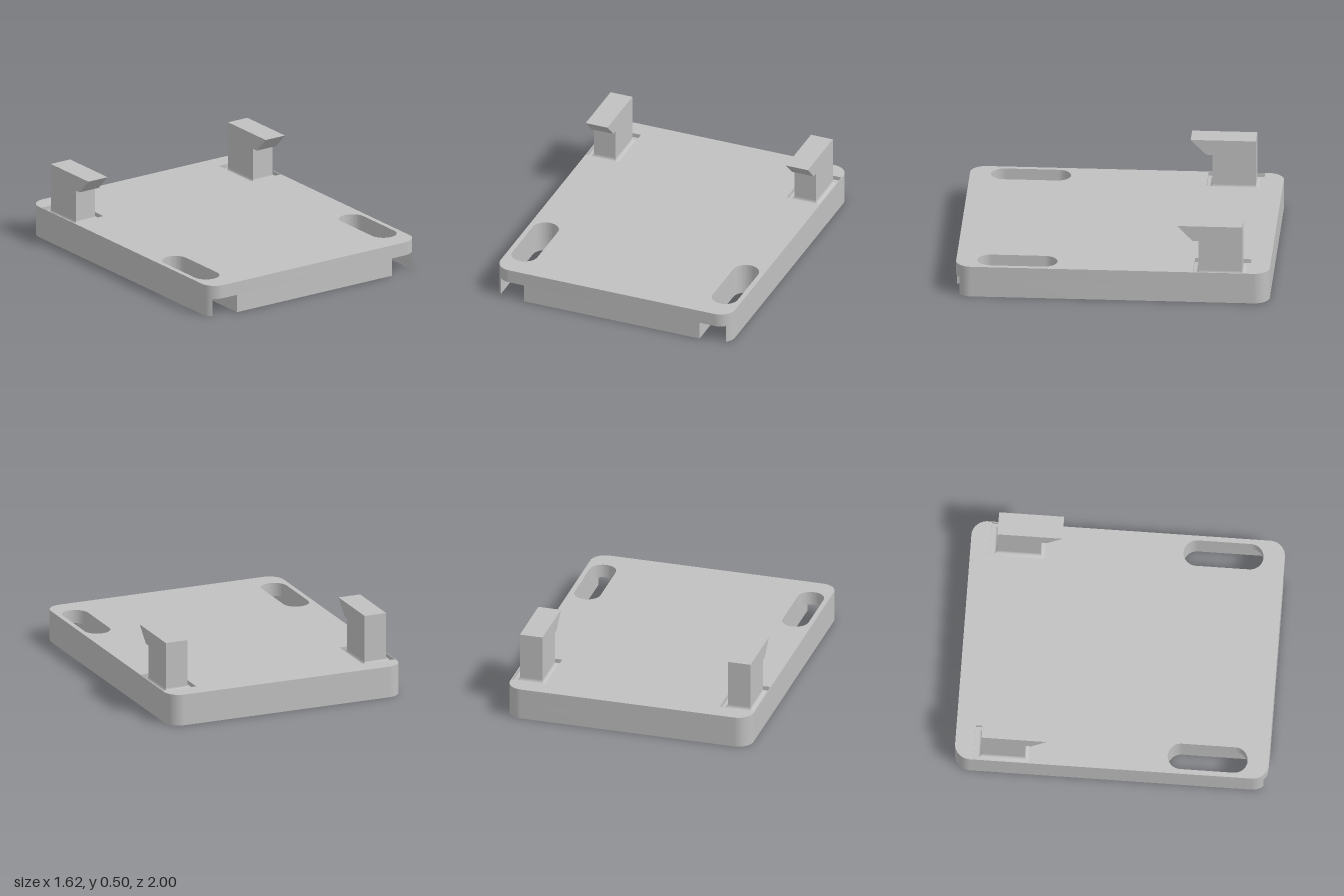
import * as THREE from 'three';
import { toCreasedNormals } from 'three/addons/utils/BufferGeometryUtils.js';

const W = 0.808, D = 1, R = 0.1;                 // plate half width, half depth, corner radius
const TOP = 0.205, FLOOR = 0.178, NOTCH = 0.117; // plate top, pocket floor, notch ceiling
const SLOT = { x: 0.69, r: 0.086, z0: 0.441, z1: 0.779 };
const HOOK = { x: 0.69, w: 0.15, back: -0.827, front: -0.55 };
const PI = Math.PI;

// Extrudes a shape drawn in x/z between two heights
function slab(shape, y0, y1) {
  const g = new THREE.ExtrudeGeometry(shape, { depth: y1 - y0, bevelEnabled: false, curveSegments: 16 });
  g.rotateX(PI / 2).translate(0, y1, 0);
  return toCreasedNormals(g, 0.5);
}

function roundedPlate() {
  const s = new THREE.Shape();
  s.absarc(W - R, -D + R, R, -PI / 2, 0);
  s.absarc(W - R, D - R, R, 0, PI / 2);
  s.absarc(-W + R, D - R, R, PI / 2, PI);
  s.absarc(-W + R, -D + R, R, PI, 1.5 * PI);
  s.closePath();
  for (const side of [-1, 1]) {
    const h = new THREE.Path();
    h.absarc(side * SLOT.x, SLOT.z1, SLOT.r, 0, PI);
    h.absarc(side * SLOT.x, SLOT.z0, SLOT.r, PI, 2 * PI);
    h.closePath();
    s.holes.push(h);
  }
  return s;
}

// Lower layer: the slots run out through the front edge
function notchedPlate() {
  const s = new THREE.Shape();
  const { x, r, z0 } = SLOT;
  const a = Math.acos((x + r - W + R) / R);
  s.absarc(W - R, -D + R, R, -PI / 2, 0);
  s.absarc(W - R, D - R, R, 0, a);
  s.absarc(x, z0, r, 0, PI, true);
  s.lineTo(x - r, D);
  s.lineTo(r - x, D);
  s.absarc(-x, z0, r, 0, PI, true);
  s.absarc(-W + R, D - R, R, PI - a, PI);
  s.absarc(-W + R, -D + R, R, PI, 1.5 * PI);
  s.closePath();
  // Blind screw holes on the centre line
  for (const z of [-0.52, 0.52]) {
    s.holes.push(new THREE.Path().absarc(0, z, 0.05, 0, 2 * PI));
  }
  return s;
}

// Top layer: slots plus a shallow pocket around each hook
function pocketedPlate() {
  const s = roundedPlate();
  for (const side of [-1, 1]) {
    const corners = [[0.576, -0.875], [0.804, -0.875], [0.804, -0.515], [0.576, -0.515]];
    s.holes.push(new THREE.Path(corners.map(([x, z]) => new THREE.Vector2(side * x, z))));
  }
  return s;
}

function hookGeometry() {
  const s = new THREE.Shape([
    [HOOK.back, FLOOR], [HOOK.front, FLOOR], [HOOK.front, 0.405],
    [-0.51, 0.405], [-0.412, 0.505], [HOOK.back, 0.505],
  ].map(([z, y]) => new THREE.Vector2(-z, y)));
  const g = new THREE.ExtrudeGeometry(s, { depth: HOOK.w, bevelEnabled: false });
  return g.translate(0, 0, -HOOK.w / 2).rotateY(PI / 2);
}

// Concave mitred fillet around the hook foot
function filletGeometry() {
  const r = 0.024, steps = 6, pos = [];
  const ring = (i) => {
    const t = (i / steps) * PI / 2;
    const o = r * (1 - Math.sin(t)), y = FLOOR + r * (1 - Math.cos(t));
    const x = HOOK.w / 2 + o, b = HOOK.back - o, f = HOOK.front + o;
    return [[-x, y, f], [x, y, f], [x, y, b], [-x, y, b]];
  };
  for (let k = 0; k < 4; k++) {
    for (let i = 0; i < steps; i++) {
      const lo = ring(i), hi = ring(i + 1), n = (k + 1) % 4;
      pos.push(...lo[k], ...lo[n], ...hi[n], ...lo[k], ...hi[n], ...hi[k]);
    }
  }
  const g = new THREE.BufferGeometry();
  g.setAttribute('position', new THREE.Float32BufferAttribute(pos, 3));
  return toCreasedNormals(g, 0.5);
}

export function createModel() {
  const model = new THREE.Group();
  model.name = 'mountingPlate';
  const grey = new THREE.MeshStandardMaterial({ color: 0xc0c0c0 });
  grey.name = 'light grey';
  const add = (parent, name, geometry) => {
    const mesh = new THREE.Mesh(geometry, grey);
    mesh.name = name;
    parent.add(mesh);
  };

  // Plate in three layers
  const plate = new THREE.Group();
  plate.name = 'plate';
  add(plate, 'notchedBase', slab(notchedPlate(), 0, NOTCH));
  add(plate, 'slottedMiddle', slab(roundedPlate(), NOTCH, FLOOR));
  add(plate, 'pocketedTop', slab(pocketedPlate(), FLOOR, TOP));
  model.add(plate);

  // Pair of snap hooks
  const hook = hookGeometry(), fillet = filletGeometry();
  for (const [name, side] of [['leftHook', 1], ['rightHook', -1]]) {
    const group = new THREE.Group();
    group.name = name;
    group.position.x = side * HOOK.x;
    add(group, 'hook', hook);
    add(group, 'footFillet', fillet);
    model.add(group);
  }
  return model;
}
